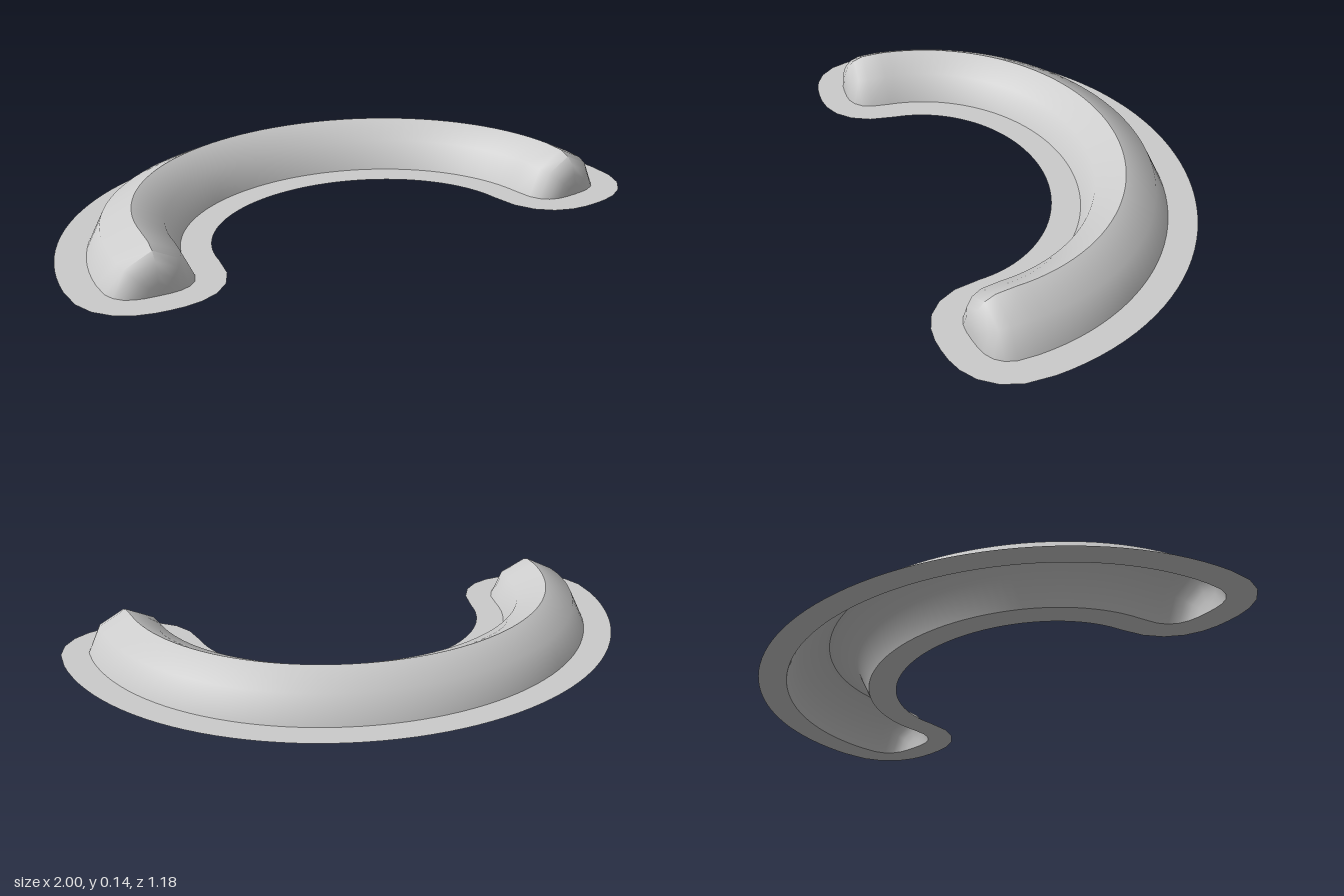
import * as THREE from 'three';
import { toCreasedNormals } from 'three/addons/utils/BufferGeometryUtils.js';

const RX = 0.76, RZ = 0.665, CZ = 0.32;   // elliptical centre line
const MOUND = 0.145, RIM = 0.243;         // half widths of the hollow ridge and its flange
// half profile of the ridge, as [across, height]
const HALF = [[0.145, 0], [0.1, 0.095], [0, 0.145]];

// stations along the path, with rounded ends where theta runs from 90 degrees to 0
function makeStations() {
  const a0 = Math.asin((0.345 - CZ) / RZ);          // left end
  const a1 = Math.PI + Math.asin((CZ - 0.19) / RZ) * -1; // right end
  const at = (a) => {
    const t = new THREE.Vector2(RX * Math.sin(a), -RZ * Math.cos(a)).normalize();
    return { x: -RX * Math.cos(a), z: CZ - RZ * Math.sin(a), t, theta: 0, dir: 0 };
  };
  const start = -a0, list = [];
  const steps = [18, 36, 54, 70, 82, 90].map((d) => d * Math.PI / 180);
  for (const theta of [...steps].reverse()) list.push({ ...at(start), theta, dir: -1 });
  for (let i = 0; i <= 56; i++) list.push(at(start + (a1 - start) * i / 56));
  for (const theta of steps) list.push({ ...at(a1), theta, dir: 1 });
  return list;
}

// place a point beside a station; ends follow a rounded superellipse outline
function place(s, radius, across, y, n) {
  const d = s.dir * radius * Math.pow(Math.sin(s.theta), 2 / n);
  const k = s.theta > 1.57 ? 0 : Math.pow(Math.cos(s.theta), 2 / n);
  const w = across * k;
  return new THREE.Vector3(s.x + s.t.x * d + s.t.y * w, y * k, s.z + s.t.y * d - s.t.x * w);
}

// join rows of points into a surface, leaving out collapsed triangles
function skin(rows) {
  const pos = [];
  const tri = (a, b, c) => {
    const area = b.clone().sub(a).cross(c.clone().sub(a)).length();
    if (area > 1e-8) for (const p of [a, b, c]) pos.push(p.x, p.y, p.z);
  };
  for (let i = 0; i < rows.length - 1; i++) {
    for (let j = 0; j < rows[i].length - 1; j++) {
      const a = rows[i][j], b = rows[i][j + 1], c = rows[i + 1][j], d = rows[i + 1][j + 1];
      tri(a, b, c);
      tri(b, d, c);
    }
  }
  const g = new THREE.BufferGeometry();
  g.setAttribute('position', new THREE.Float32BufferAttribute(pos, 3));
  return toCreasedNormals(g, 0.85);
}

export function createModel() {
  const group = new THREE.Group();
  group.name = 'curvedTrim';
  const material = new THREE.MeshStandardMaterial({ color: 0xcccccc, side: THREE.DoubleSide });
  const add = (name, rows) => {
    const mesh = new THREE.Mesh(skin(rows), material);
    mesh.name = name;
    group.add(mesh);
  };
  const stations = makeStations();

  // hollow ridge, open underneath
  const profile = [...HALF, ...HALF.slice(0, -1).reverse().map(([w, y]) => [-w, y])];
  add('hollowRidge', stations.map((s) => profile.map(([w, y]) => place(s, MOUND, w, y, 3))));

  // flat flange on both sides, meeting around the ends
  add('outerFlange', stations.map((s) => [place(s, RIM, RIM, 0, 2.4), place(s, MOUND, MOUND, 0, 3)]));
  add('innerFlange', stations.map((s) => [place(s, MOUND, -MOUND, 0, 3), place(s, RIM, -RIM, 0, 2.4)]));
  return group;
}
